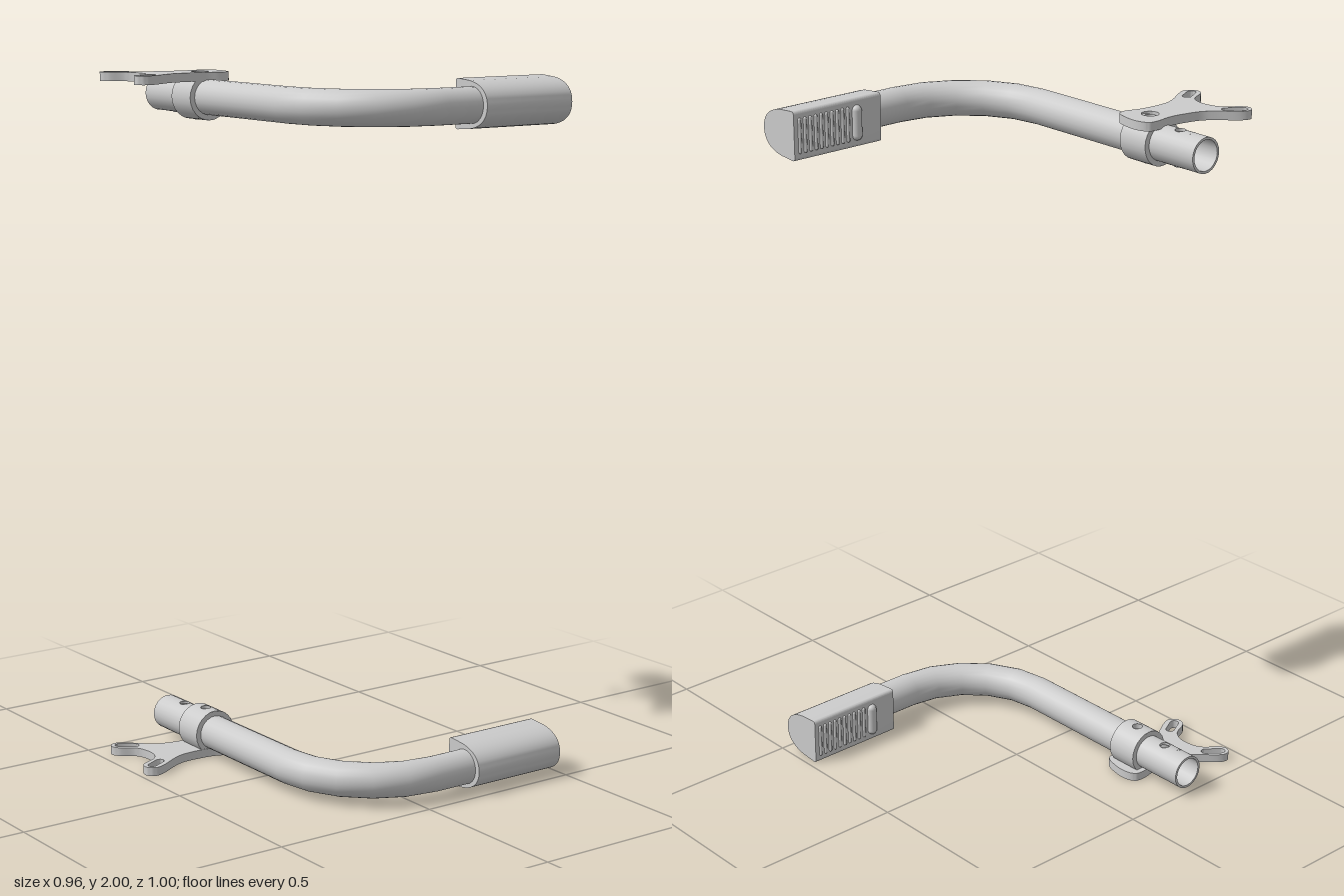
import * as THREE from 'three';
import { toCreasedNormals } from 'three/addons/utils/BufferGeometryUtils.js';
import { ParametricGeometry } from 'three/addons/geometries/ParametricGeometry.js';

const grey = new THREE.MeshStandardMaterial({ color: 0xcccccc, side: THREE.DoubleSide });
const TUBE_R = 0.05, WALL_R = 0.043, COLLAR_R = 0.065, HOLE_R = 0.015;
const TUBE_X = -0.22, BOLT_Z = -0.29, PIN_Z = -0.405, Q = Math.PI / 4;

function add(parent, name, geometry, x = 0, y = 0, z = 0) {
  const mesh = new THREE.Mesh(geometry, grey);
  mesh.name = name;
  mesh.position.set(x, y, z);
  parent.add(mesh);
  return mesh;
}

// Piece of a cylinder wall along z, between two angles
function wall(r, z0, z1, a0 = 0, a1 = Math.PI * 2) {
  const segments = Math.round((a1 - a0) / (Math.PI / 12));
  return new ParametricGeometry((u, v, p) => {
    const a = a1 + (a0 - a1) * u;
    p.set(r * Math.sin(a), r * Math.cos(a), z0 + (z1 - z0) * v);
  }, segments, 1);
}

// Quarter of a cylinder wall with a round hole in its middle
function holedQuarter(r, zc, halfLength, middle) {
  return new ParametricGeometry((u, v, p) => {
    const t = u * Math.PI * 2, c = Math.cos(t), s = Math.sin(t);
    const m = Math.max(Math.abs(c), Math.abs(s));
    const a = middle + THREE.MathUtils.lerp(HOLE_R * c / r, Q * c / m, v);
    const z = zc + THREE.MathUtils.lerp(HOLE_R * s, halfLength * s / m, v);
    p.set(r * Math.sin(a), r * Math.cos(a), z);
  }, 32, 4);
}

// Ring of wall drilled through top and bottom
function drilledBand(parent, name, r, zc, halfLength) {
  for (const middle of [0, Math.PI]) {
    add(parent, name, holedQuarter(r, zc, halfLength, middle), TUBE_X);
    add(parent, name, wall(r, zc - halfLength, zc + halfLength, middle + Q, middle + 3 * Q), TUBE_X);
  }
}

// Linings of a hole drilled through top and bottom
function holeLining(parent, name, z, outerR) {
  const length = outerR - WALL_R + 0.001;
  for (const s of [-1, 1]) {
    add(parent, name, new THREE.CylinderGeometry(HOLE_R, HOLE_R, length, 32, 1, true),
      TUBE_X, s * (outerR - length / 2), z);
  }
}

function bentTube(parent) {
  const tube = new THREE.Group();
  tube.name = 'bentTube';
  parent.add(tube);
  for (const r of [TUBE_R, WALL_R]) {
    for (const [z0, z1] of [[-0.5, -0.45], [-0.36, -0.335], [-0.245, 0.145]]) {
      add(tube, 'straightTube', wall(r, z0, z1), TUBE_X);
    }
    drilledBand(tube, 'drilledTube', r, PIN_Z, 0.045);
    drilledBand(tube, 'drilledTube', r, BOLT_Z, 0.045);
  }
  add(tube, 'tubeEnd', new THREE.RingGeometry(WALL_R, TUBE_R, 24).rotateY(Math.PI), TUBE_X, 0, -0.5);
  holeLining(tube, 'pinHole', PIN_Z, TUBE_R);
  // Quarter bend made of five segments
  const bend = new THREE.TorusGeometry(0.285, TUBE_R, 24, 5, Math.PI / 2);
  add(tube, 'tubeBend', bend.rotateZ(Math.PI / 2).rotateX(Math.PI / 2), 0.065, 0, 0.145);
  const handle = new THREE.CylinderGeometry(TUBE_R, TUBE_R, 0.135, 24, 1, true);
  add(tube, 'handleTube', handle.rotateZ(Math.PI / 2), 0.1325, 0, 0.43);
}

function collar(parent) {
  drilledBand(parent, 'clampCollar', COLLAR_R, BOLT_Z, 0.048);
  for (const s of [-1, 1]) {
    add(parent, 'collarEnd', new THREE.RingGeometry(TUBE_R, COLLAR_R, 24), TUBE_X, 0, BOLT_Z + s * 0.048);
  }
  holeLining(parent, 'boltHole', BOLT_Z, COLLAR_R);
}

// Rounded slot between two centres
function slot(x0, z0, x1, z1, r) {
  const path = new THREE.Path(), a = Math.atan2(z1 - z0, x1 - x0), h = Math.PI / 2;
  path.absarc(x0, z0, r, a + h, a + 3 * h);
  path.absarc(x1, z1, r, a - h, a + h);
  path.closePath();
  return path;
}

// Forked plate outlined in x and z, with two slots and a bolt hole
function forkPlate(parent, y) {
  const outline = [
    [-0.157, -0.35], [-0.143, -0.318], [-0.149, -0.263], [-0.163, -0.231], [-0.188, -0.224],
    [-0.235, -0.238], [-0.32, -0.242], [-0.36, -0.231], [-0.438, -0.188], [-0.461, -0.184],
    [-0.482, -0.203], [-0.475, -0.231], [-0.42, -0.26], [-0.401, -0.297], [-0.405, -0.35],
    [-0.42, -0.375], [-0.456, -0.402], [-0.465, -0.426], [-0.449, -0.445], [-0.427, -0.443],
    [-0.372, -0.393], [-0.341, -0.369], [-0.3, -0.356], [-0.235, -0.348], [-0.185, -0.355],
  ].map(([x, z]) => new THREE.Vector3(x, z, 0));
  const curve = new THREE.CatmullRomCurve3(outline, true);
  const shape = new THREE.Shape(curve.getPoints(100).slice(0, -1).map((p) => new THREE.Vector2(p.x, p.y)));
  const boltHole = new THREE.Path();
  boltHole.absarc(TUBE_X, BOLT_Z, 0.024, 0, Math.PI * 2);
  shape.holes.push(boltHole,
    slot(-0.44, -0.423, -0.404, -0.395, 0.013),
    slot(-0.458, -0.21, -0.42, -0.23, 0.013));
  const plate = new THREE.ExtrudeGeometry(shape, { depth: 0.025, bevelEnabled: false, curveSegments: 16 });
  add(parent, 'forkPlate', toCreasedNormals(plate.rotateX(Math.PI / 2), 0.6), 0, y);
}

// Handle grip with a D-shaped section, a button and finger ribs
function grip(parent) {
  const section = new THREE.Shape();
  section.moveTo(-0.361, -0.06);
  section.lineTo(-0.361, 0.06);
  section.quadraticCurveTo(-0.361, 0.069, -0.37, 0.069);
  section.lineTo(-0.42, 0.065);
  section.bezierCurveTo(-0.47, 0.058, -0.496, 0.035, -0.496, 0);
  section.bezierCurveTo(-0.496, -0.035, -0.47, -0.058, -0.42, -0.065);
  section.lineTo(-0.37, -0.069);
  section.quadraticCurveTo(-0.361, -0.069, -0.361, -0.06);
  const body = new THREE.ExtrudeGeometry(section, { depth: 0.3, bevelEnabled: false, curveSegments: 10 });
  add(parent, 'grip', toCreasedNormals(body.rotateY(Math.PI / 2), 0.6), 0.18);
  add(parent, 'gripButton', new THREE.CapsuleGeometry(0.015, 0.07, 6, 16), 0.265, 0, 0.361);
  for (let i = 0; i < 10; i++) {
    add(parent, 'gripRib', new THREE.CapsuleGeometry(0.005, 0.09, 4, 10), 0.296 + i * 0.0184, 0, 0.36);
  }
}

// One arm; its plate lies on the upper or lower side
function arm(name, y, plateTop) {
  const group = new THREE.Group();
  group.name = name;
  group.position.y = y;
  bentTube(group);
  collar(group);
  forkPlate(group, plateTop);
  grip(group);
  return group;
}

export function createModel() {
  const model = new THREE.Group();
  model.name = 'handleArms';
  model.add(arm('upperArm', 1.93, 0.07), arm('lowerArm', 0.07, -0.045));
  return model;
}
